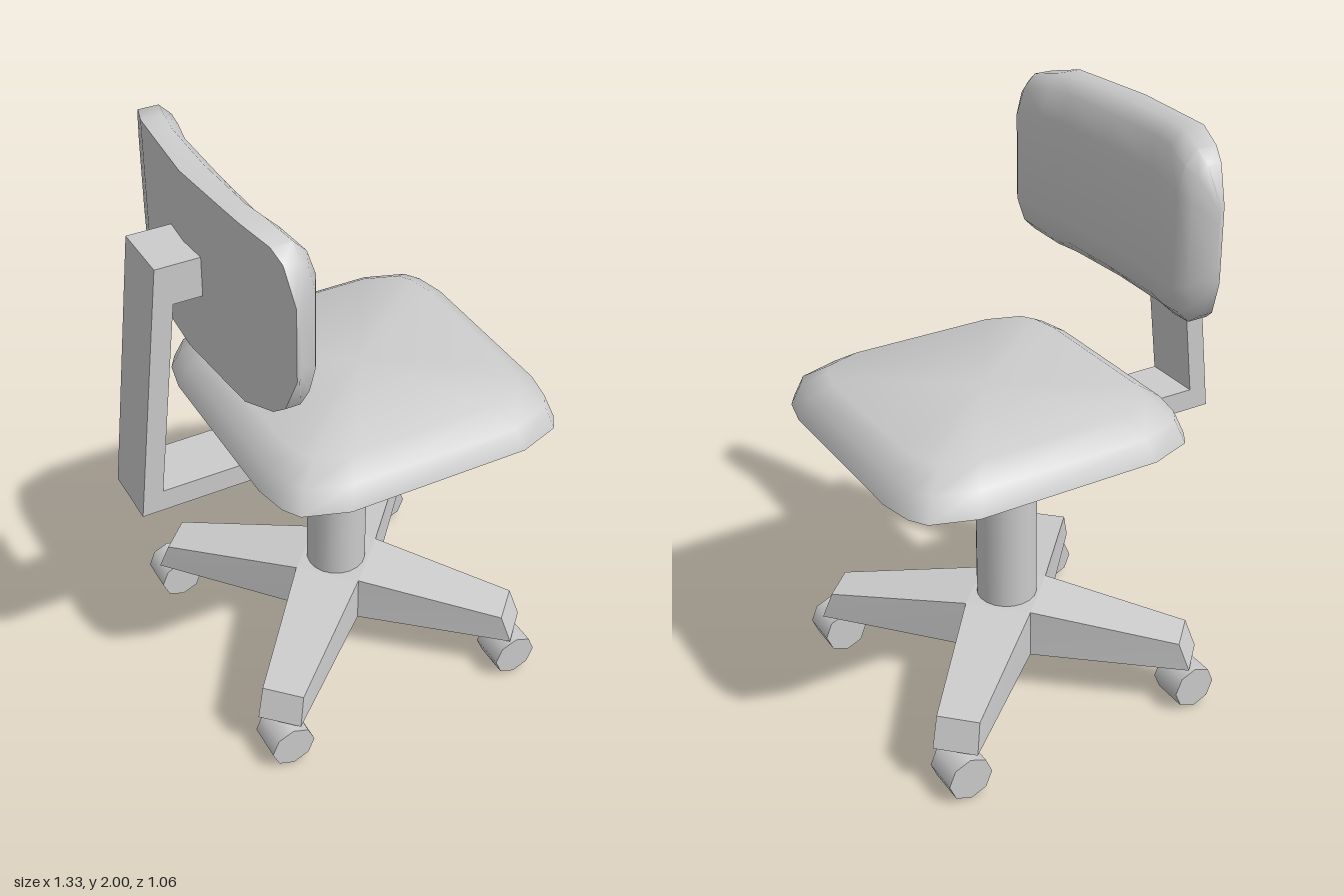
import * as THREE from 'three';
import { toCreasedNormals } from 'three/addons/utils/BufferGeometryUtils.js';

const material = new THREE.MeshStandardMaterial({ color: 0xcccccc });

// Skin a row of equal-length rings of [x, y, z] points and cap both ends.
// Rings run counter-clockwise when seen from the last ring's side.
function loft(rings, crease) {
  const pos = [];
  const tri = (a, b, c) => pos.push(...a, ...b, ...c);
  const n = rings[0].length;
  const centre = (ring) => [0, 1, 2].map((k) => ring.reduce((s, p) => s + p[k], 0) / n);
  const first = rings[0], last = rings[rings.length - 1];
  const c0 = centre(first), c1 = centre(last);
  for (let i = 0; i < n; i++) {
    const j = (i + 1) % n;
    for (let r = 0; r < rings.length - 1; r++) {
      const a = rings[r], b = rings[r + 1];
      tri(a[i], a[j], b[j]);
      tri(a[i], b[j], b[i]);
    }
    tri(c0, first[j], first[i]);
    tri(c1, last[i], last[j]);
  }
  const g = new THREE.BufferGeometry();
  g.setAttribute('position', new THREE.Float32BufferAttribute(pos, 3));
  return toCreasedNormals(g, crease);
}

// Seat cushion: rounded rectangle, stepping inwards towards the top
function seatGeometry() {
  const q = [[0.513, 0.3], [0.49, 0.41], [0.455, 0.465], [0.31, 0.515]];
  const flip = [...q].reverse();
  const outline = [
    ...q,
    ...flip.map(([x, z]) => [-x, z]),
    ...q.map(([x, z]) => [-x, -z]),
    ...flip.map(([x, z]) => [x, -z]),
  ];
  const levels = [[1.03, 1], [1.105, 0.945], [1.155, 0.8]];
  return loft(levels.map(([y, s]) => outline.map(([x, z]) => [0.152 + x * s, y, -z * s])), 0.9);
}

// Backrest: vertical sections swept across z, curving forward at the sides
function backrestGeometry() {
  // z, rear x, front x, half height
  const half = [
    [0, -0.435, -0.285, 0.295], [0.24, -0.418, -0.285, 0.295], [0.33, -0.411, -0.263, 0.295],
    [0.44, -0.375, -0.24, 0.27], [0.485, -0.36, -0.265, 0.235], [0.53, -0.345, -0.33, 0.12],
  ];
  const columns = [...half.slice(1).reverse().map(([z, ...r]) => [-z, ...r]), ...half];
  return loft(columns.map(([z, xb, xf, h]) => {
    const t = xf - xb;
    const top = [[xf, h * 0.55], [xf - 0.2 * t, h * 0.85], [xb + 0.5 * t, h], [xb, h]];
    const bottom = [...top].reverse().map(([x, y]) => [x, -y]);
    return [...top, ...bottom].map(([x, y]) => [x, 1.707 + y, z]);
  }), 0.9);
}

// Four-legged star: flat square hub with legs sloping down to the corners
function baseGeometry() {
  const cx = 0.075, bottom = [], top = [], hub = [];
  for (let i = 0; i < 4; i++) {
    const put = (x, y, z, turn = i) => {
      const a = turn * Math.PI / 2, c = Math.cos(a), s = Math.sin(a);
      return [cx + x * c + z * s, y, z * c - x * s];
    };
    const notch = (y, turn) => put(0.16, y, 0, turn);
    bottom.push(notch(0.16, i), put(0.515, 0.16, -0.41), put(0.41, 0.16, -0.513));
    top.push(notch(0.335, i), put(0.485, 0.26, -0.385), put(0.385, 0.26, -0.485));
    hub.push(notch(0.335, i), notch(0.335, i), notch(0.335, i + 1));
  }
  return loft([bottom, top, hub], 0.1);
}

// Bent flat bar joining seat and backrest
function armGeometry() {
  const profile = [
    [-0.06, 1.03], [-0.23, 1.03], [-0.285, 0.975], [-0.595, 0.975], [-0.52, 1.645],
    [-0.425, 1.645], [-0.425, 1.775], [-0.57, 1.775], [-0.668, 0.9], [-0.235, 0.9],
  ];
  const shape = new THREE.Shape(profile.map(([x, y]) => new THREE.Vector2(x, y)));
  return new THREE.ExtrudeGeometry(shape, { depth: 0.206, bevelEnabled: false }).translate(0, 0, -0.103);
}

export function createModel() {
  const group = new THREE.Group();
  const add = (name, geometry) => {
    const mesh = new THREE.Mesh(geometry, material);
    mesh.name = name;
    group.add(mesh);
    return mesh;
  };

  add('seat', seatGeometry());
  add('backrest', backrestGeometry());
  add('backrestArm', armGeometry());
  add('column', new THREE.CylinderGeometry(0.103, 0.103, 0.72, 20)).position.set(0.073, 0.68, 0);
  add('base', baseGeometry());

  // Casters under the four leg ends
  for (const x of [-0.363, 0.512]) {
    for (const z of [-0.452, 0.452]) {
      const caster = add('caster', new THREE.CylinderGeometry(0.077, 0.077, 0.125, 8));
      caster.rotation.x = Math.PI / 2;
      caster.position.set(x, 0.077, z);
    }
  }
  return group;
}
